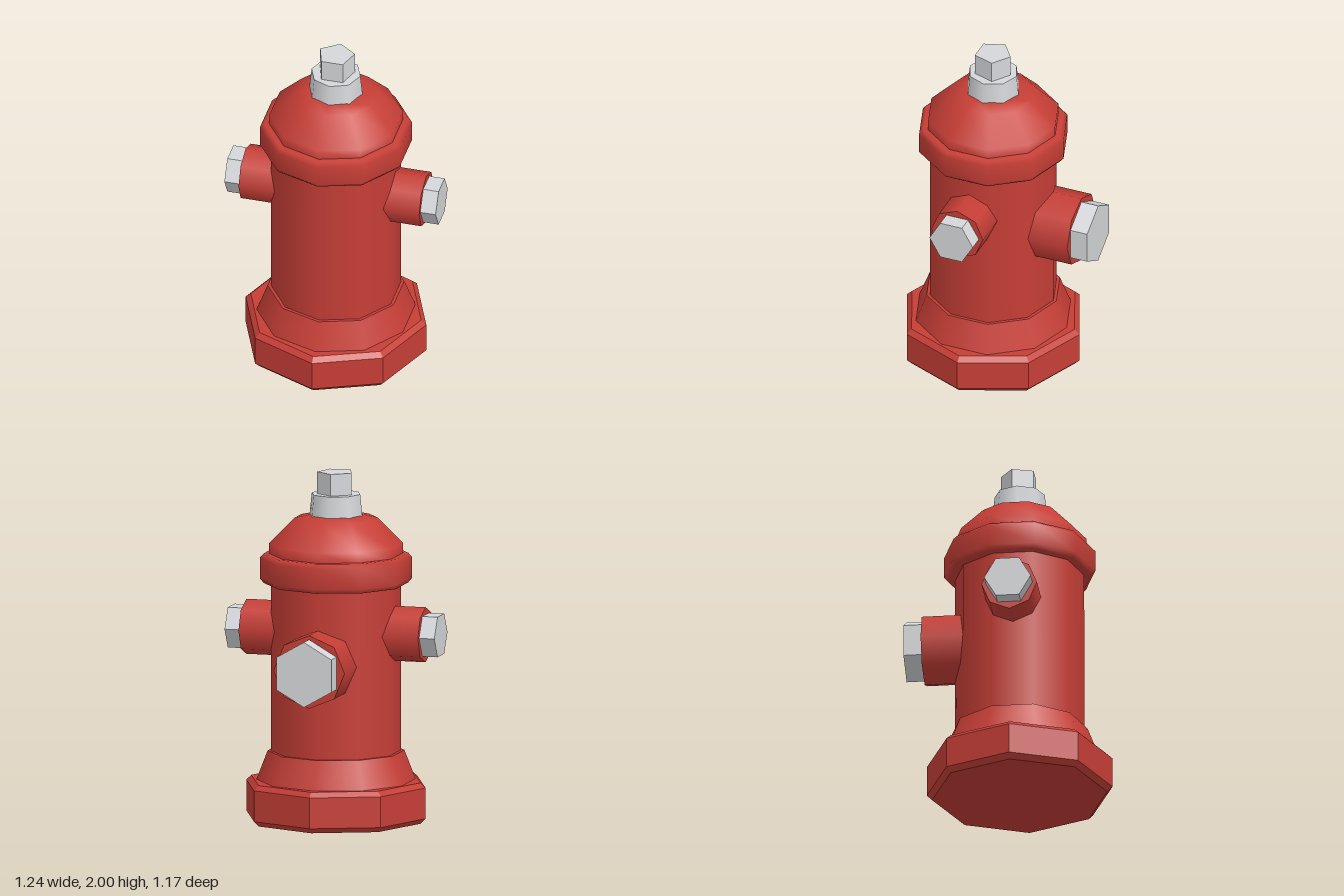
import * as THREE from 'three';

const AXIS_Z = 0.057; // the barrel stands slightly forward of the centre

export function createModel() {
  const group = new THREE.Group();
  const red = new THREE.MeshStandardMaterial({ color: 0xc63e36 });
  red.name = 'red paint';
  const steel = new THREE.MeshStandardMaterial({ color: 0xd4d6d9 });
  steel.name = 'bare steel';

  const add = (name, geometry, material, x = 0, y = 0, z = AXIS_Z) => {
    const mesh = new THREE.Mesh(geometry, material);
    mesh.name = name;
    mesh.position.set(x, y, z);
    group.add(mesh);
    return mesh;
  };
  // faceted version of a geometry
  const flat = (geometry) => {
    const g = geometry.toNonIndexed();
    g.computeVertexNormals();
    return g;
  };
  const lathe = (points, sides) =>
    new THREE.LatheGeometry(points.map(([r, y]) => new THREE.Vector2(r, y)), sides);
  // upright prism between two heights
  const prism = (rTop, rBottom, y0, y1, sides) =>
    new THREE.CylinderGeometry(rTop, rBottom, y1 - y0, sides).translate(0, (y0 + y1) / 2, 0);

  // octagonal foot with bevelled rims
  add('base', flat(lathe([[0, 0], [0.5, 0], [0.53, 0.03], [0.53, 0.207], [0.5, 0.235], [0, 0.235]], 8)), red);

  // barrel
  add('baseFlare', prism(0.388, 0.453, 0.23, 0.4, 10), red);
  add('body', prism(0.368, 0.37, 0.38, 1.38, 10), red);

  // collar and bonnet
  add('collar', lathe([[0.35, 1.362], [0.41, 1.362], [0.432, 1.388], [0.432, 1.508], [0.41, 1.532], [0.35, 1.532]], 10), red);
  add('bonnet', lathe([[0.38, 1.52], [0.38, 1.59], [0.237, 1.735], [0.15, 1.755], [0, 1.757]], 10), red);

  // operating nut on top
  add('topNutBase', prism(0.143, 0.156, 1.75, 1.875, 8), steel);
  add('topNut', flat(prism(0.107, 0.107, 1.87, 2, 5).rotateY(Math.PI)), steel);

  // side outlets, mirrored
  for (const [side, label] of [[1, 'left'], [-1, 'right']]) {
    const outlet = prism(0.158, 0.158, 0.2, 0.53, 8).rotateZ(-side * Math.PI / 2);
    add(label + 'Outlet', outlet, red, 0, 1.087);
    const nut = flat(prism(0.133, 0.133, 0.52, 0.62, 6).rotateZ(-side * Math.PI / 2));
    add(label + 'OutletNut', nut, steel, 0, 1.087);
  }

  // large rear outlet
  add('rearOutlet', prism(0.21, 0.21, 0.1, 0.485, 8).rotateX(-Math.PI / 2), red, 0, 0.932, 0);
  add('rearOutletNut', flat(prism(0.187, 0.187, 0.475, 0.588, 6).rotateX(-Math.PI / 2)), steel, 0, 0.932, 0);

  return group;
}
